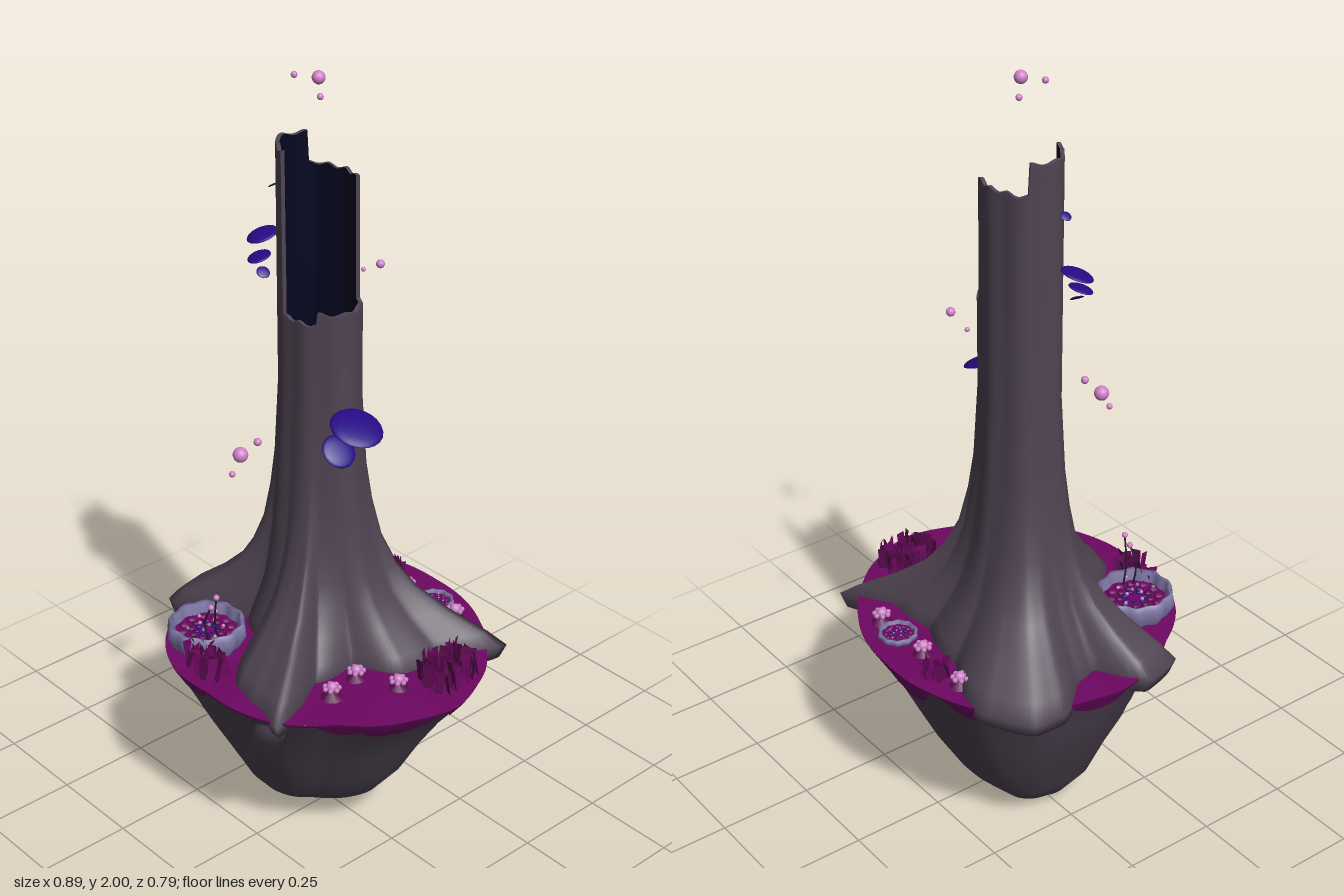
import * as THREE from 'three';

const mat = (name, color, side = THREE.FrontSide) => {
  const m = new THREE.MeshStandardMaterial({ color, side });
  m.name = name;
  return m;
};

// Smooth closed surface: rows of rings, bottom to top for outward faces
function loft(rows, point, n = 120) {
  const pos = [], idx = [];
  rows.forEach((row) => {
    for (let j = 0; j < n; j++) pos.push(...point(row, (j / n) * Math.PI * 2));
  });
  for (let i = 0; i < rows.length - 1; i++) {
    for (let j = 0; j < n; j++) {
      const k = (j + 1) % n, a = i * n + j, b = i * n + k, c = a + n, d = b + n;
      idx.push(a, c, b, b, c, d);
    }
  }
  const g = new THREE.BufferGeometry();
  g.setAttribute('position', new THREE.Float32BufferAttribute(pos, 3));
  g.setIndex(idx);
  g.computeVertexNormals();
  return g;
}

// Radius by angle, blended between plan points [x, z] around a centre
function polar(points, cx, cz) {
  const TAU = Math.PI * 2;
  const list = points.map(([x, z]) => [(Math.atan2(z - cz, x - cx) + TAU) % TAU, Math.hypot(x - cx, z - cz)]);
  list.sort((a, b) => a[0] - b[0]);
  const last = list[list.length - 1], first = list[0];
  list.unshift([last[0] - TAU, last[1]]);
  list.push([first[0] + TAU, first[1]]);
  return (t) => {
    let i = 0;
    while (i < list.length - 2 && list[i + 1][0] <= t) i++;
    const u = (t - list[i][0]) / (list[i + 1][0] - list[i][0]);
    return THREE.MathUtils.lerp(list[i][1], list[i + 1][1], u * u * (3 - 2 * u) * 0.5 + u * 0.5);
  };
}

// Piecewise linear lookup in a table of [key, value, ...]
function lookup(table, key, col) {
  let i = 0;
  while (i < table.length - 2 && table[i + 1][0] < key) i++;
  const a = table[i], b = table[i + 1];
  return THREE.MathUtils.lerp(a[col], b[col], THREE.MathUtils.clamp((key - a[0]) / (b[0] - a[0]), 0, 1));
}

export function createModel() {
  const bark = mat('bark', 0x4f4452, THREE.DoubleSide);
  const hollow = mat('hollow navy', 0x050520, THREE.DoubleSide), moss = mat('moss magenta', 0x6d0761, THREE.DoubleSide);
  const grass = mat('grass maroon', 0x590a4c, THREE.DoubleSide), lavender = mat('lavender', 0x7f78a6, THREE.DoubleSide);
  const indigo = mat('indigo', 0x270a85), pink = mat('pink', 0xcf82c8), twig = mat('twig', 0x2a1a2e);
  const root = new THREE.Group();
  root.name = 'hollowTreeIsland';
  let seed = 7;
  const rand = () => (seed = (seed * 16807) % 2147483647) / 2147483647;
  const add = (name, geo, m, x = 0, y = 0, z = 0, parent = root) => {
    const mesh = new THREE.Mesh(geo, m);
    mesh.name = name;
    mesh.position.set(x, y, z);
    parent.add(mesh);
    return mesh;
  };

  // Floating rock: rim outline shrinking to an off-centre base
  const rim = polar([[0.445, -0.03], [0.4, -0.15], [0.3, -0.27], [0.2, -0.34], [0, -0.39], [-0.15, -0.375],
    [-0.28, -0.32], [-0.37, -0.22], [-0.41, -0.1], [-0.43, 0], [-0.4, 0.13], [-0.34, 0.22], [-0.25, 0.33], [-0.15, 0.385],
    [0, 0.39], [0.1, 0.385], [0.2, 0.35], [0.3, 0.25], [0.4, 0.13]], 0, 0);
  const island = [[0, 0, -0.1], [0.008, 0.13, -0.09], [0.03, 0.27, -0.07], [0.1, 0.455, -0.045], [0.2, 0.595, -0.03],
    [0.3, 0.72, -0.03], [0.4, 0.84, -0.015], [0.47, 0.94, -0.004], [0.51, 1, 0]];
  const onRock = (y, t, grow = 0) => {
    const r = rim(t) * lookup(island, y, 1) * (1 + 0.015 * Math.sin(5 * t + 9 * y) * (y < 0.45 ? 1 : 0)) + grow;
    return [r * Math.cos(t) + lookup(island, y, 2), y, r * Math.sin(t)];
  };
  add('floatingRock', loft(island.map((r) => r[0]), (y, t) => onRock(y, t)), bark);

  // Moss top, and drips over the rim given as [angle, half width, depth]
  add('mossTop', loft([1, 0.8, 0.5, 0], (s, t) => {
    const r = (rim(t) + 0.004) * s;
    return [r * Math.cos(t), 0.513 + (s < 1 ? 0.004 * Math.sin(6 * t) * s : 0), r * Math.sin(t)];
  }), moss);
  const drips = [[105, 13, 0.055], [36, 9, 0.05], [18, 15, 0.065], [-13, 12, 0.07], [265, 16, 0.085], [233, 9, 0.06], [187, 11, 0.055]];
  const drip = (t) => drips.reduce((depth, [angle, half, size]) => {
    const d = ((THREE.MathUtils.radToDeg(t) - angle + 540) % 360) - 180;
    return Math.max(depth, size * Math.sqrt(Math.max(0, 1 - (d / half) ** 2)));
  }, 0.01);
  add('mossDrips', loft([1, 0.75, 0.5, 0.25, 0], (s, t) => onRock(0.513 - drip(t) * s, t, 0.004), 180), moss);

  // Trunk flaring into four broad roots
  const cx = -0.06, cz = -0.025;
  const roots = polar([[-0.31, -0.32], [-0.42, -0.25], [-0.425, -0.17], [-0.35, -0.06], [-0.33, 0], [-0.445, 0.09],
    [-0.41, 0.2], [-0.33, 0.18], [-0.2, 0.1], [-0.06, 0.15], [-0.05, 0.26], [0.03, 0.33], [0.12, 0.345], [0.225, 0.36],
    [0.2, 0.28], [0.14, 0.17], [0.15, 0.05], [0.26, -0.03], [0.265, -0.15], [0.335, -0.32], [0.2, -0.23], [0.06, -0.22],
    [-0.1, -0.26]], cx, cz);
  const pipe = (t) => (0.118 * 0.088) / Math.hypot(0.088 * Math.cos(t), 0.118 * Math.sin(t)) * (1 + 0.025 * Math.sin(7 * t));
  const flare = [[0.45, 0.6, 1.2], [0.47, 0.95, 1.2], [0.51, 1, 1.2], [0.545, 0.86, 1.2], [0.6, 0.58, 1.2], [0.66, 0.34, 1.2],
    [0.72, 0.2, 1.2], [0.8, 0.1, 1.15], [0.9, 0.04, 1.12], [1, 0.01, 1.08], [1.2, 0, 1]];
  const topHeight = (t) => {
    const d = THREE.MathUtils.radToDeg(t), jag = 0.004 * Math.sin(11 * t);
    if (d < 111 || d > 308) return jag + (d < 45 || d > 308 ? 1.435 : 1.405);
    return jag + (d > 207 ? 1.742 : 1.818);
  };
  const trunkRows = [...flare.map((r) => [r[0], 0]), [1.2, 0.5], [1.2, 1]];
  const wall = (y, t, k = 1) => {
    const p = pipe(t) * lookup(flare, y, 2);
    const r = (p + (Math.max(roots(t), p) - p) * lookup(flare, y, 1)) * k;
    return [cx + r * Math.cos(t), y, cz + r * Math.sin(t)];
  };
  const upTo = ([y, u], t) => y + (topHeight(t) - y) * u;
  add('trunkAndRoots', loft(trunkRows, (row, t) => wall(upTo(row, t), t), 180), bark);
  add('brokenRim', loft([1, 0.9], (k, t) => wall(topHeight(t), t, k), 180), bark);
  add('trunkHollow', loft([1, 0.5, 0], (u, t) => wall(upTo([1.2, u], t), t, 0.9), 180), hollow);
  add('hollowFloor', loft([0.92, 0], (k, t) => wall(1.2, t, k), 60), hollow);

  // Root tips clawing down over the rim, rows of [x, y, z, radius]
  const claws = [
    [[0.05, 0.27, 0.27, 0.004], [0.08, 0.33, 0.28, 0.03], [0.12, 0.41, 0.295, 0.046], [0.15, 0.47, 0.3, 0.056], [0.15, 0.53, 0.28, 0.04]],
    [[0.23, 0.39, -0.23, 0.004], [0.25, 0.43, -0.235, 0.025], [0.275, 0.48, -0.25, 0.032], [0.26, 0.53, -0.23, 0.02]],
    [[-0.3, 0.41, -0.2, 0.004], [-0.325, 0.45, -0.21, 0.035], [-0.34, 0.5, -0.215, 0.05], [-0.32, 0.54, -0.2, 0.03]],
    [[-0.36, 0.43, 0.12, 0.004], [-0.37, 0.46, 0.125, 0.03], [-0.385, 0.5, 0.13, 0.04], [-0.35, 0.54, 0.12, 0.03]],
  ];
  claws.forEach((rows) => add('rootClaw', loft(rows, ([x, y, z, r], t) => [x + r * Math.cos(t), y, z + r * Math.sin(t)], 16), bark));

  // Bracket mushrooms: position, radius, sideways tilt, forward tilt
  [[0.13, 1.175, 0.025, 0.066, -0.36, 0], [0.078, 1.095, 0.035, 0.044, -0.75, 0.1], [-0.228, 1.555, 0.008, 0.04, 0.15, 0.3],
    [-0.215, 1.508, 0.03, 0.03, 0.12, 0.3], [-0.195, 1.475, 0.035, 0.017, -0.6, 0.2], [-0.195, 1.69, 0, 0.013, 0.6, 0]]
    .forEach(([x, y, z, r, tilt, lean]) => {
      const g = new THREE.Group();
      g.name = 'bracketMushroom';
      g.position.set(x, y, z);
      g.rotation.set(lean, 0, tilt);
      root.add(g);
      add('cap', new THREE.SphereGeometry(r, 20, 6, 0, Math.PI * 2, 0, Math.PI / 2), indigo, 0, 0, 0, g).scale.y = 0.22;
      add('gills', new THREE.CircleGeometry(r, 20).rotateX(Math.PI / 2), hollow, 0, 0, 0, g);
    });

  // Scalloped lavender cups with petals and pollen
  const cup = (x, z, r, h) => {
    const g = new THREE.Group();
    g.name = 'flowerCup';
    g.position.set(x, 0.512, z);
    root.add(g);
    const rows = [[0.85, 0], [1, 0.45], [0.98, 0.8], [0.92, 1], [0.84, 0.95], [0.8, 0.3]];
    add('cupWall', loft(rows, ([s, y], t) => {
      const q = r * s * (1 + 0.04 * Math.cos(10 * t));
      return [q * Math.cos(t), y * h, q * Math.sin(t)];
    }, 60), lavender, 0, 0, 0, g);
    add('cupFloor', new THREE.CircleGeometry(r * 0.84, 30).rotateX(-Math.PI / 2), moss, 0, h * 0.5, 0, g);
    [[0.62, 12, moss, 0.13], [0.4, 9, grass, 0.1], [0.26, 7, indigo, 0.08]].forEach(([s, n, m, size], k) => {
      for (let i = 0; i < n; i++) {
        const a = (i / n) * Math.PI * 2 + k;
        const petal = add('petal', new THREE.SphereGeometry(r * size, 8, 6), m, r * s * Math.cos(a), h * 0.55, r * s * Math.sin(a), g);
        petal.scale.y = 0.6;
      }
    });
    for (let i = 0; i < 9; i++) {
      const a = i * 2.4, s = r * (0.1 + 0.07 * i);
      add('pollen', new THREE.IcosahedronGeometry(r * 0.05, 1), i % 3 ? pink : lavender, s * Math.cos(a), h * 0.85, s * Math.sin(a), g);
    }
  };
  cup(-0.185, 0.25, 0.1, 0.065);
  cup(0.08, -0.305, 0.05, 0.02);

  // Thin stamens beside the large cup
  [[-0.125, 0.26, -0.11, 0.275, 0.69], [-0.14, 0.28, -0.12, 0.285, 0.66]].forEach(([x, z, x2, z2, y]) => {
    const path = new THREE.CatmullRomCurve3([[x, 0.54, z], [x, 0.61, z + 0.01], [x2, y, z2]].map((p) => new THREE.Vector3(...p)));
    add('stamen', new THREE.TubeGeometry(path, 10, 0.0025, 5), twig);
    add('stamenTip', new THREE.IcosahedronGeometry(0.008, 1), pink, x2, y, z2);
  });

  // Grass tufts: centre, spread in x and z, number of blades, height
  [[0.34, -0.1, 0.065, 0.085, 70, 0.07], [-0.11, -0.325, 0.035, 0.03, 20, 0.05], [-0.08, 0.335, 0.07, 0.035, 50, 0.068]]
    .forEach(([x, z, sx, sz, n, h]) => {
      for (let i = 0; i < n; i++) {
        const a = rand() * 6.28, s = Math.sqrt(rand()), len = h * (0.75 + 0.35 * rand());
        const blade = add('grassBlade', new THREE.PlaneGeometry(0.022, len), i % 2 ? grass : moss,
          x + sx * s * Math.cos(a), 0.508 + len * 0.47, z + sz * s * Math.sin(a));
        blade.rotation.set((rand() - 0.5) * 0.5, rand() * 3.14, (rand() - 0.5) * 0.5);
      }
    });

  // Small pink blossoms: a dome ringed by petals on a dark base
  [[-0.18, -0.3], [-0.02, -0.298], [0.16, -0.3], [0.295, 0.03], [0.195, 0.08], [0.21, 0.175]].forEach(([x, z]) => {
    add('blossomBase', new THREE.ConeGeometry(0.03, 0.022, 10), grass, x, 0.522, z);
    add('blossomDome', new THREE.SphereGeometry(0.014, 10, 8), pink, x, 0.54, z);
    for (let i = 0; i < 7; i++) {
      const a = (i / 7) * Math.PI * 2;
      add('blossomPetal', new THREE.SphereGeometry(0.007, 6, 5), pink, x + 0.018 * Math.cos(a), 0.538, z + 0.018 * Math.sin(a));
    }
  });

  // Drifting spores
  [[-0.06, 1.984, -0.025, 0.016], [-0.11, 1.985, 0.005, 0.008], [-0.06, 1.937, -0.03, 0.008], [-0.06, 1.1, 0.228, 0.019],
    [-0.032, 1.135, 0.197, 0.01], [-0.062, 1.055, 0.253, 0.008], [-0.06, 1.465, -0.225, 0.011], [-0.11, 1.437, -0.215, 0.006]]
    .forEach(([x, y, z, r]) => add('spore', new THREE.SphereGeometry(r, 14, 10), pink, x, y, z));

  return root;
}
